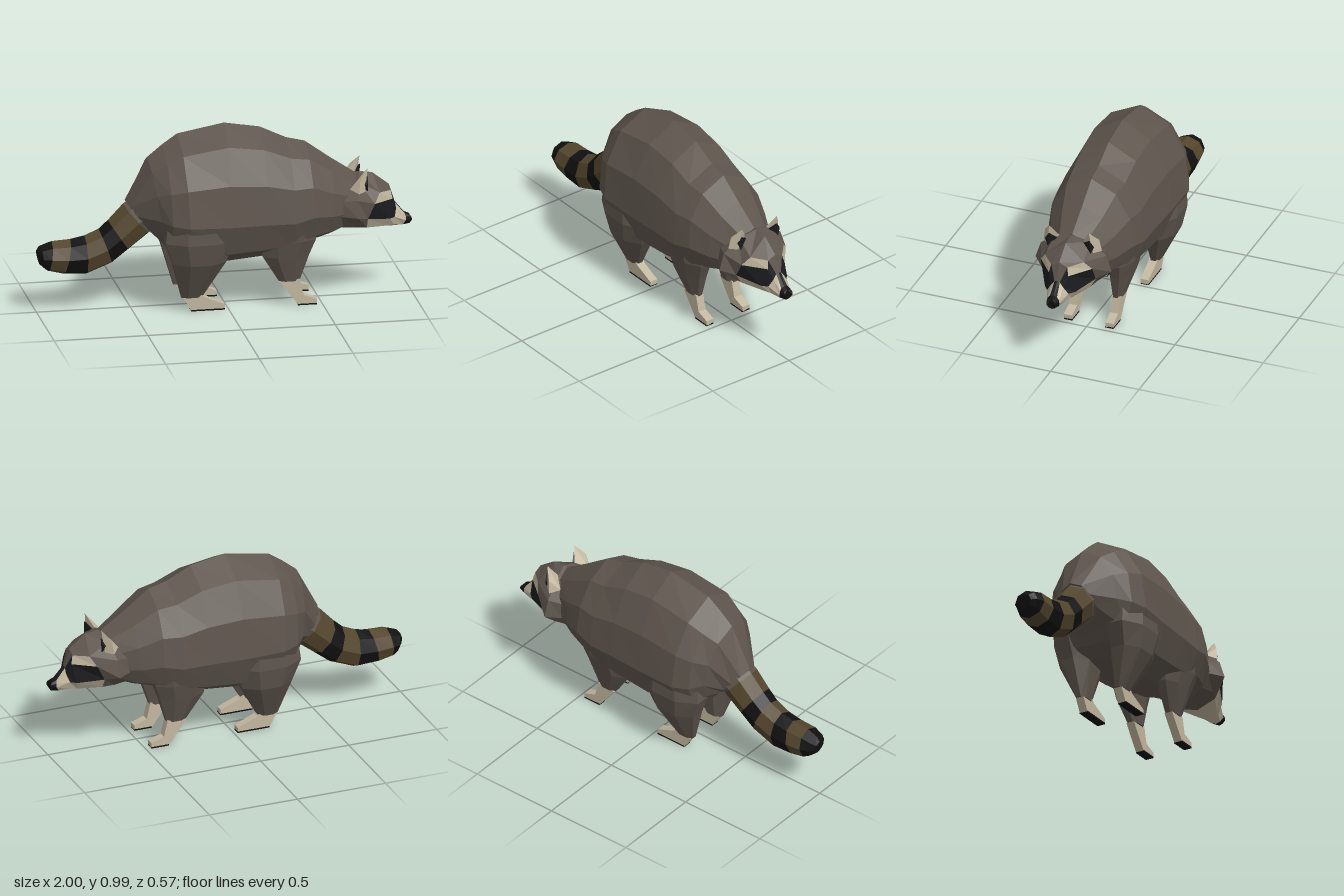
import * as THREE from 'three';
import { ConvexGeometry } from 'three/addons/geometries/ConvexGeometry.js';

const mat = (color) => new THREE.MeshStandardMaterial({ color, flatShading: true });
const FUR = mat(0x5e554d), CREAM = mat(0xc2b79e), DARK = mat(0x1a1b1d), BROWN = mat(0x54462c), BLACK = mat(0x111111);

const V = (x, y, z) => new THREE.Vector3(x, y, z);

// Skin a list of rings; pick(i, j) gives the material of each quad, one mesh per material
function loft(name, rings, pick) {
  const buckets = new Map();
  const tri = (m, ...pts) => {
    if (!buckets.has(m)) buckets.set(m, []);
    pts.forEach((p) => buckets.get(m).push(p.x, p.y, p.z));
  };
  const n = rings[0].length, last = rings.length - 1;
  for (let i = 0; i < last; i++) {
    for (let j = 0; j < n; j++) {
      const k = (j + 1) % n, a = rings[i], b = rings[i + 1], m = pick(i, j);
      tri(m, a[j], a[k], b[k]);
      tri(m, a[j], b[k], b[j]);
    }
  }
  for (let j = 1; j < n - 1; j++) {
    tri(pick(0, 0), rings[0][0], rings[0][j + 1], rings[0][j]);
    tri(pick(last - 1, 0), rings[last][0], rings[last][j], rings[last][j + 1]);
  }
  const group = new THREE.Group();
  group.name = name;
  for (const [m, pos] of buckets) {
    const g = new THREE.BufferGeometry();
    g.setAttribute('position', new THREE.Float32BufferAttribute(pos, 3));
    g.computeVertexNormals();
    const mesh = new THREE.Mesh(g, m);
    mesh.name = name + 'Surface';
    group.add(mesh);
  }
  return group;
}

// Full ring from a half section running from top centre to bottom centre
const mirrorRing = (half) => [...half, ...half.slice(1, -1).reverse().map((p) => V(p.x, p.y, -p.z))];

function makeBody() {
  // half section as [width fraction, height fraction]
  const section = [[0, 1], [0.58, 0.88], [0.92, 0.63], [1, 0.33], [0.8, 0.11], [0.35, 0.01], [0, 0]];
  // top x, bottom x, top y, bottom y, half width
  const rings = [
    [-0.53, -0.39, 0.59, 0.41, 0.1], [-0.41, -0.35, 0.82, 0.37, 0.19], [-0.33, -0.31, 0.885, 0.32, 0.25],
    [-0.25, -0.22, 0.94, 0.28, 0.284], [0, -0.02, 0.985, 0.245, 0.275], [0.19, 0.18, 0.952, 0.262, 0.266],
    [0.33, 0.34, 0.885, 0.29, 0.26], [0.43, 0.45, 0.86, 0.335, 0.24], [0.56, 0.55, 0.765, 0.36, 0.195],
    [0.7, 0.66, 0.67, 0.4, 0.13],
  ].map(([xt, xb, t, b, w]) => mirrorRing(section.map(([z, f]) => V(xb + (xt - xb) * f, b + (t - b) * f, z * w))));
  return loft('body', rings, () => FUR);
}

function makeTail() {
  // top x, top y, bottom x, bottom y, half width, from tip to root
  const rings = [
    [-1, 0.34, -0.985, 0.265, 0.04], [-0.98, 0.365, -0.965, 0.245, 0.07], [-0.92, 0.387, -0.94, 0.225, 0.085],
    [-0.82, 0.393, -0.86, 0.205, 0.088], [-0.745, 0.408, -0.735, 0.197, 0.09], [-0.67, 0.44, -0.6, 0.25, 0.093],
    [-0.62, 0.485, -0.51, 0.32, 0.097], [-0.54, 0.57, -0.4, 0.405, 0.102], [-0.44, 0.64, -0.33, 0.46, 0.1],
  ].map(([xt, yt, xb, yb, w]) => Array.from({ length: 8 }, (_, j) => {
    const a = j * Math.PI / 4, f = (1 + Math.cos(a)) / 2;
    return V(xb + (xt - xb) * f, yb + (yt - yb) * f, w * Math.sin(a));
  }));
  const bands = [BLACK, BLACK, BROWN, BLACK, BROWN, BLACK, BROWN, FUR];
  return loft('tail', rings, (i) => bands[i]);
}

function makeHead() {
  // each half section: crown, inner brow, outer brow, cheek, jaw, chin
  const rings = [
    [[0.6, 0.62, 0], [0.6, 0.6, 0.1], [0.6, 0.56, 0.15], [0.6, 0.48, 0.165], [0.6, 0.41, 0.12], [0.6, 0.39, 0]],
    [[0.72, 0.675, 0], [0.7, 0.645, 0.1], [0.68, 0.57, 0.185], [0.68, 0.48, 0.215], [0.68, 0.41, 0.14], [0.68, 0.385, 0]],
    [[0.79, 0.665, 0], [0.81, 0.585, 0.11], [0.78, 0.535, 0.145], [0.74, 0.455, 0.15], [0.74, 0.4, 0.12], [0.76, 0.37, 0]],
    [[0.88, 0.595, 0], [0.88, 0.575, 0.045], [0.89, 0.53, 0.055], [0.87, 0.43, 0.085], [0.86, 0.385, 0.06], [0.86, 0.365, 0]],
    [[0.91, 0.5, 0], [0.91, 0.495, 0.015], [0.912, 0.47, 0.035], [0.9, 0.43, 0.06], [0.9, 0.385, 0.045], [0.9, 0.365, 0]],
    [[0.96, 0.438, 0], [0.96, 0.435, 0.02], [0.965, 0.42, 0.032], [0.965, 0.4, 0.036], [0.95, 0.375, 0.025], [0.95, 0.367, 0]],
    [[0.985, 0.428, 0], [0.985, 0.425, 0.02], [0.995, 0.415, 0.026], [1, 0.4, 0.024], [0.988, 0.378, 0.015], [0.985, 0.372, 0]],
  ].map((half) => mirrorRing(half.map((p) => V(...p))));
  const paint = [
    [FUR, FUR, FUR, FUR, FUR],
    [FUR, FUR, FUR, FUR, FUR],
    [FUR, CREAM, DARK, CREAM, CREAM],
    [FUR, DARK, DARK, CREAM, CREAM],
    [DARK, CREAM, CREAM, CREAM, CREAM],
    [BLACK, BLACK, BLACK, BLACK, BLACK],
  ];
  return loft('head', rings, (i, j) => paint[i][j < 5 ? j : 9 - j]);
}

function makeEar(side) {
  const group = new THREE.Group();
  group.name = side > 0 ? 'leftEar' : 'rightEar';
  const hull = (name, m, pts) => {
    const mesh = new THREE.Mesh(new ConvexGeometry(pts.map(([x, y, z]) => V(x, y, z * side))), m);
    mesh.name = name;
    group.add(mesh);
  };
  hull('earShell', CREAM, [[0.745, 0.725, 0.112], [0.7, 0.67, 0.153], [0.69, 0.6, 0.165],
    [0.73, 0.6, 0.13], [0.705, 0.65, 0.065], [0.65, 0.615, 0.12]]);
  hull('innerEar', DARK, [[0.748, 0.68, 0.113], [0.725, 0.648, 0.073], [0.745, 0.6, 0.122],
    [0.738, 0.64, 0.138], [0.69, 0.64, 0.115]]);
  return group;
}

// Leg from rings [y, back x, front x, inner z, outer z], listed top down
function makeLeg(name, side, rows) {
  const rings = rows.map(([y, x0, x1, z0, z1]) => Array.from({ length: 8 }, (_, j) => {
    const a = (j + 0.5) * Math.PI / 4, s = 1 / Math.cos(Math.PI / 8);
    return V((x0 + x1) / 2 + (x1 - x0) / 2 * s * Math.cos(a), y, side * (z0 + z1) / 2 + (z1 - z0) / 2 * s * Math.sin(a));
  }));
  return loft(name, rings, () => FUR);
}

// Foot from a side outline, with a thin dark sole
function makeFoot(name, side, outline) {
  const group = new THREE.Group();
  group.name = name;
  const shape = new THREE.Shape(outline.map(([x, y]) => new THREE.Vector2(x, y)));
  const g = new THREE.ExtrudeGeometry(shape, { depth: 0.046, bevelEnabled: false });
  g.translate(0, 0, side * 0.117 - 0.023);
  const foot = new THREE.Mesh(g, CREAM);
  foot.name = 'paw';
  const [heel, toe] = outline;
  const sole = new THREE.Mesh(new THREE.BoxGeometry(toe[0] - heel[0], 0.008, 0.047), BLACK);
  sole.name = 'sole';
  sole.position.set((heel[0] + toe[0]) / 2, 0.004, side * 0.117);
  group.add(foot, sole);
  return group;
}

export function createModel() {
  const model = new THREE.Group();
  model.name = 'raccoon';
  model.add(makeBody(), makeTail(), makeHead());
  for (const side of [1, -1]) {
    const s = side > 0 ? 'left' : 'right';
    model.add(
      makeEar(side),
      makeLeg(s + 'HindLeg', side, [[0.55, -0.33, 0, 0.06, 0.265], [0.4, -0.35, 0.02, 0.06, 0.272],
        [0.28, -0.305, -0.025, 0.065, 0.248], [0.075, -0.25, -0.14, 0.088, 0.146]]),
      makeFoot(s + 'HindFoot', side, [[-0.2, 0.004], [-0.02, 0.004], [-0.02, 0.03], [-0.13, 0.075], [-0.15, 0.095], [-0.24, 0.075]]),
      makeLeg(s + 'FrontLeg', side, [[0.5, 0.2, 0.46, 0.06, 0.23], [0.37, 0.17, 0.46, 0.06, 0.215],
        [0.28, 0.18, 0.425, 0.068, 0.19], [0.135, 0.27, 0.38, 0.085, 0.145]]),
      makeFoot(s + 'FrontFoot', side, [[0.37, 0.004], [0.47, 0.004], [0.47, 0.03], [0.4, 0.055], [0.378, 0.145], [0.272, 0.135]]),
    );
  }
  return model;
}
